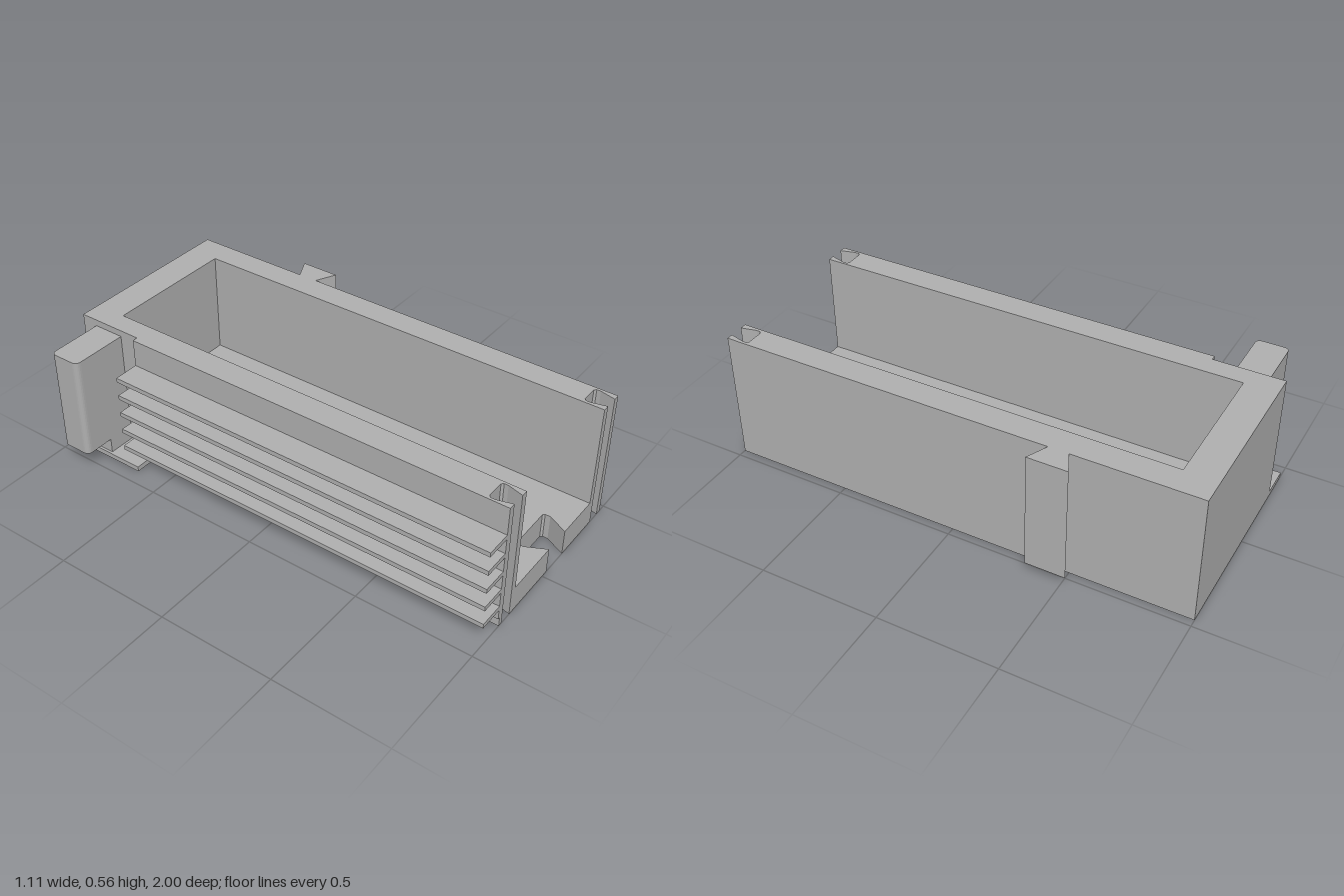
import * as THREE from 'three';

export function createModel() {
  const model = new THREE.Group();
  model.name = 'channelTray';
  const grey = new THREE.MeshStandardMaterial({ color: 0xb0b0b0 });
  grey.name = 'plainGrey';

  // Plan outline as [x, z] pairs, raised from y0 to y1
  const shapeOf = (pts) => new THREE.Shape(pts.map(([x, z]) => new THREE.Vector2(x, -z)));
  function prism(name, shape, y0, y1) {
    const geo = new THREE.ExtrudeGeometry(shape, { depth: y1 - y0, bevelEnabled: false, curveSegments: 6 });
    geo.rotateX(-Math.PI / 2).translate(0, y0, 0);
    const mesh = new THREE.Mesh(geo, grey);
    mesh.name = name;
    model.add(mesh);
  }
  const rect = (x0, x1, z0, z1) => shapeOf([[x0, z0], [x1, z0], [x1, z1], [x0, z1]]);

  // Dovetail slot cut into the front edge, from left to right
  const slot = (cx, mouth, wide, back, shoulder) => [
    [cx - mouth, 1], [cx - wide, shoulder], [cx - wide, back + 0.008], [cx - wide + 0.008, back],
    [cx + wide - 0.008, back], [cx + wide, back + 0.008], [cx + wide, shoulder], [cx + mouth, 1],
  ];
  const leftSlot = slot(-0.2725, 0.0275, 0.045, 0.91, 0.935);
  const floorSlot = slot(0.0935, 0.061, 0.104, 0.885, 0.915);
  const rightSlot = slot(0.4125, 0.0275, 0.043, 0.91, 0.935);

  // Body outline; the side is set back near the rear where the lug joins
  function body(left, middle) {
    return shapeOf([
      [0.467, -1], [-0.305, -1], [-0.305, -0.705], [left, -0.705], [left, 1],
      ...leftSlot, ...middle, ...rightSlot, [0.467, 1],
    ]);
  }
  prism('floorUnderside', body(-0.318, floorSlot), 0, 0.042);
  prism('floor', body(-0.328, floorSlot), 0.042, 0.112);
  prism('walls', body(-0.328, [[-0.217, 1], [-0.217, -0.863], [0.357, -0.863], [0.357, 1]]), 0.112, 0.56);

  // Cooling fins along one side
  for (let i = 0; i < 5; i++) {
    const y = 0.086 + i * 0.0838;
    prism('fin' + (i + 1), rect(-0.438, -0.32, -0.705, 1), y, y + 0.02);
  }

  // Rear foot plate and lug support
  prism('footPlate', rect(-0.436, -0.3, -1, -0.64), 0, 0.022);
  prism('lugSupport', rect(-0.425, -0.3, -0.93, -0.795), 0.022, 0.09);

  // Side lug with rounded outer corners
  const lug = new THREE.Shape();
  lug.moveTo(-0.3, 0.795);
  lug.lineTo(-0.3, 0.93);
  lug.lineTo(-0.53, 0.93);
  lug.quadraticCurveTo(-0.555, 0.93, -0.555, 0.905);
  lug.lineTo(-0.555, 0.82);
  lug.quadraticCurveTo(-0.555, 0.795, -0.53, 0.795);
  prism('sideLug', lug, 0.088, 0.532);

  // Dovetail rail on the other side
  prism('dovetailRail', shapeOf([[0.46, -0.485], [0.467, -0.485], [0.555, -0.527], [0.555, -0.36], [0.467, -0.402], [0.46, -0.402]]), 0.06, 0.56);

  return model;
}
